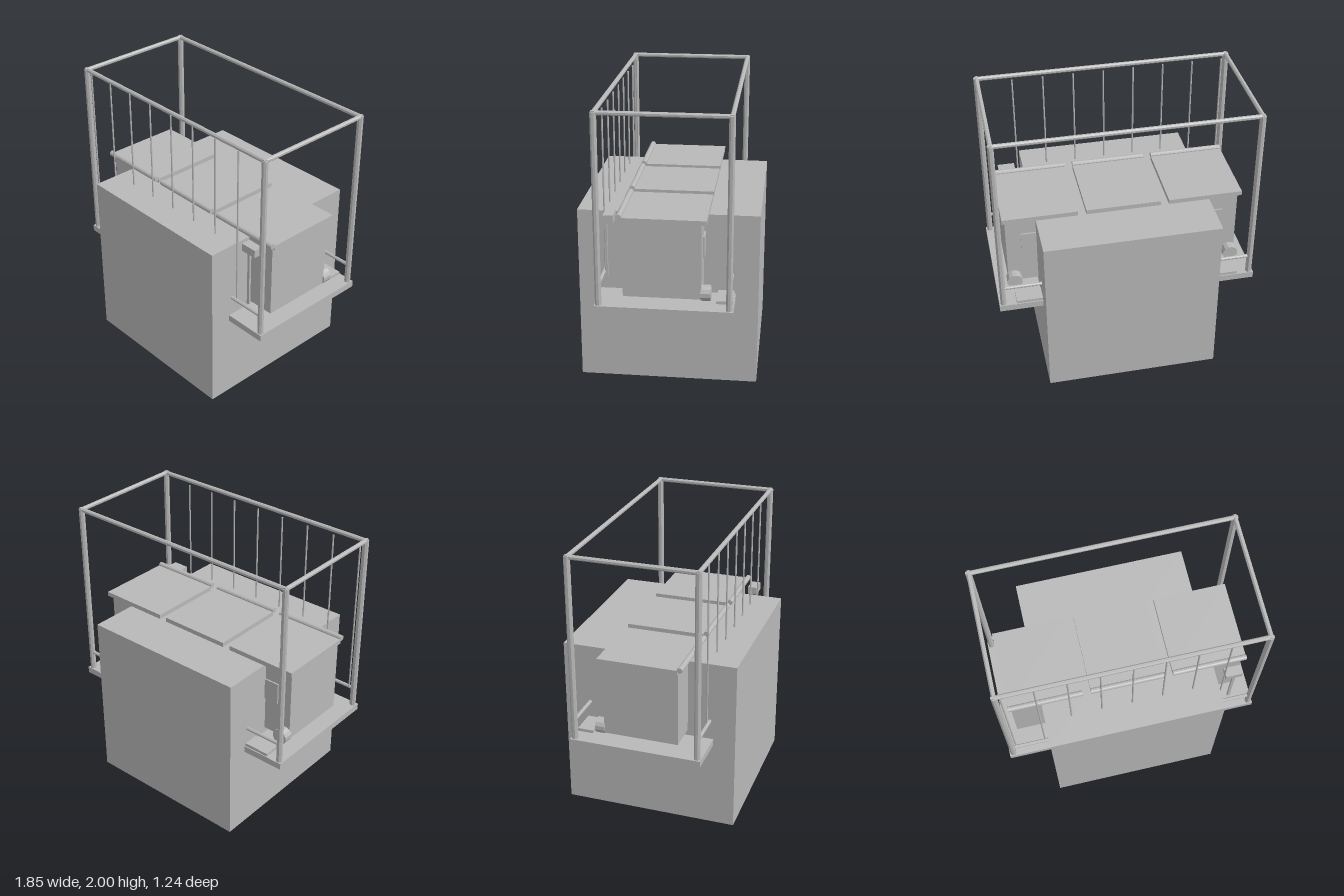
import * as THREE from 'three';

export function createModel() {
  const model = new THREE.Group();
  const grey = new THREE.MeshStandardMaterial({ color: 0xb8b8b8 });
  grey.name = 'plain grey';
  grey.flatShading = true;

  const add = (name, geometry, parent = model) => {
    const mesh = new THREE.Mesh(geometry, grey);
    mesh.name = name;
    parent.add(mesh);
    return mesh;
  };
  // Box given by its limits on each axis
  const box = (name, [x0, x1], [y0, y1], [z0, z1], parent) =>
    add(name, new THREE.BoxGeometry(x1 - x0, y1 - y0, z1 - z0), parent)
      .position.set((x0 + x1) / 2, (y0 + y1) / 2, (z0 + z1) / 2);
  // Round bar between two points, with a flat side facing each axis
  const bar = (name, a, b, radius, sides = 8, parent = model) => {
    const from = new THREE.Vector3(...a), to = new THREE.Vector3(...b);
    const geometry = new THREE.CylinderGeometry(radius, radius, from.distanceTo(to), sides);
    geometry.rotateY(Math.PI / sides);
    const mesh = add(name, geometry, parent);
    mesh.position.copy(from).add(to).multiplyScalar(0.5);
    mesh.quaternion.setFromUnitVectors(new THREE.Vector3(0, 1, 0), to.sub(from).normalize());
  };

  // Large block and the platform that runs through it
  box('block', [-0.618, 0.618], [0, 1.237], [-0.618, 0.618]);
  box('platform', [-0.925, 0.925], [0.625, 0.672], [-0.463, 0.463]);
  box('rearStep', [-0.803, 0.803], [0.672, 0.693], [-0.455, -0.343]);

  // Cage: corner posts, top frame and low rails
  const X = 0.896, Z = 0.436, TOP = 1.985;
  for (const sx of [-1, 1]) {
    for (const sz of [-1, 1]) bar('cornerPost', [sx * X, 0.67, sz * Z], [sx * X, 1.99, sz * Z], 0.022);
    bar('topSideBeam', [sx * X, TOP, -Z - 0.014], [sx * X, TOP, Z + 0.014], 0.016);
  }
  for (const sz of [-1, 1]) {
    bar('topLongBeam', [-X - 0.014, TOP, sz * Z], [X + 0.014, TOP, sz * Z], 0.016);
    bar('lowRail', [-X, 0.81, sz * Z], [X, 0.81, sz * Z], 0.013);
  }

  // Upright rods along the front
  for (let i = 0; i < 8; i++) {
    const x = -0.863 + i * 0.2165;
    bar('frontRod', [x, 0.81, 0.425], [x, 1.955, 0.425], 0.006);
  }

  // Control box on a thin stand
  box('controlBox', [0.68, 0.8], [1.214, 1.27], [0.342, 0.41]);
  box('controlStand', [0.731, 0.751], [0.81, 1.214], [0.392, 0.407]);

  // Three wheeled bins with lids
  for (const cx of [-0.588, 0, 0.588]) {
    const bin = new THREE.Group();
    bin.name = 'bin';
    bin.position.x = cx;
    model.add(bin);
    box('binBody', [-0.245, 0.245], [0.713, 1.243], [-0.245, 0.28], bin);
    box('binLid', [-0.265, 0.265], [1.243, 1.276], [-0.278, 0.282], bin);
    bar('lidHandle', [-0.265, 1.278, 0.298], [0.265, 1.278, 0.298], 0.02, 12, bin);
    box('backPlate', [-0.14, 0.14], [0.965, 1.12], [-0.256, -0.245], bin);
    for (const s of [-1, 1])
      bar('wheel', [s * 0.205, 0.747, -0.308], [s * 0.205, 0.747, -0.24], 0.055, 12, bin);
  }
  return model;
}
